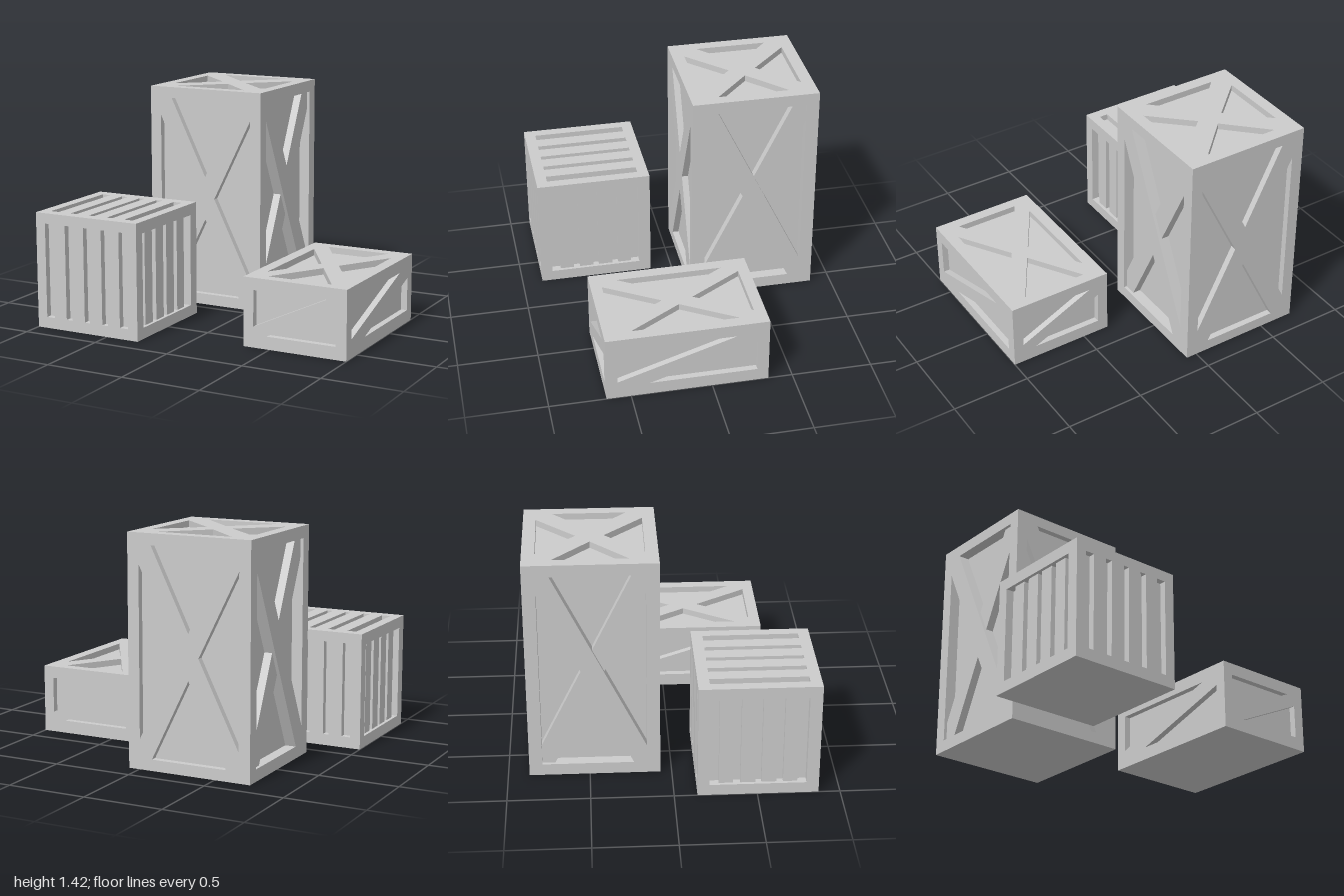
import * as THREE from 'three';
import { mergeGeometries } from 'three/addons/utils/BufferGeometryUtils.js';

const material = new THREE.MeshStandardMaterial({ color: 0xcccccc, flatShading: true });
const toPoints = (pairs) => pairs.map(([x, y]) => new THREE.Vector2(x, y));
const rect = (x0, x1, y0, y1) => [[x0, y0], [x1, y0], [x1, y1], [x0, y1]];

// Flat panel facing +z, with closed pockets sunk into it
function panelGeometry(outline, pockets, depth) {
  const shape = new THREE.Shape(toPoints(outline));
  const parts = [];
  for (const pocket of pockets) {
    const pts = toPoints(pocket);
    if (THREE.ShapeUtils.isClockWise(pts)) pts.reverse();
    shape.holes.push(new THREE.Path(pts));
    parts.push(new THREE.ShapeGeometry(new THREE.Shape(pts)).translate(0, 0, -depth).toNonIndexed());
    const walls = [];
    pts.forEach((a, i) => {
      const b = pts[(i + 1) % pts.length];
      walls.push(a.x, a.y, 0, b.x, b.y, 0, b.x, b.y, -depth);
      walls.push(a.x, a.y, 0, b.x, b.y, -depth, a.x, a.y, -depth);
    });
    const wall = new THREE.BufferGeometry();
    wall.setAttribute('position', new THREE.Float32BufferAttribute(walls, 3));
    parts.push(wall);
  }
  parts.push(new THREE.ShapeGeometry(shape).toNonIndexed());
  for (const g of parts) {
    g.deleteAttribute('uv');
    g.deleteAttribute('normal');
  }
  const merged = mergeGeometries(parts);
  merged.computeVertexNormals();
  return merged;
}

// Four triangles left between two crossed braces
function crossPockets(cy, edgeX, edgeY, baseX, baseY, tipX, tipY) {
  const list = [];
  for (const s of [1, -1]) {
    list.push([[-baseX, cy + s * edgeY], [baseX, cy + s * edgeY], [0, cy + s * tipY]]);
    list.push([[s * edgeX, cy - baseY], [s * edgeX, cy + baseY], [s * tipX, cy]]);
  }
  return list;
}

// A side: pockets, their depth, and optional planks set below the frame
function buildPanel(name, w, y0, y1, { pockets = [], depth = 0.04, planks = [], step = 0.02 }) {
  const panel = new THREE.Group();
  panel.name = name;
  const face = new THREE.Mesh(panelGeometry(rect(-w / 2, w / 2, y0, y1), pockets, depth), material);
  face.name = name + 'Face';
  panel.add(face);
  for (const outline of planks) {
    const geo = new THREE.ExtrudeGeometry(new THREE.Shape(toPoints(outline)), {
      depth: depth - step, bevelEnabled: false,
    });
    const plank = new THREE.Mesh(geo.translate(0, 0, -depth), material);
    plank.name = name + 'Plank';
    panel.add(plank);
  }
  return panel;
}

// Closed crate: opposite sides share one design
function buildCrate(name, [x, z], [w, h, d], front, side, top) {
  const crate = new THREE.Group();
  crate.name = name;
  crate.position.set(x, 0, z);
  ['front', 'left', 'back', 'right'].forEach((label, i) => {
    const odd = i % 2 === 1;
    const panel = buildPanel(label + 'Panel', odd ? d : w, 0, h, odd ? side : front);
    const angle = i * Math.PI / 2;
    const reach = (odd ? w : d) / 2;
    panel.rotation.y = angle;
    panel.position.set(Math.sin(angle) * reach, 0, Math.cos(angle) * reach);
    crate.add(panel);
  });
  const lid = buildPanel('lid', w, -d / 2, d / 2, top);
  lid.rotation.x = -Math.PI / 2;
  lid.position.y = h;
  const base = buildPanel('base', w, -d / 2, d / 2, {});
  base.rotation.x = Math.PI / 2;
  crate.add(lid, base);
  return crate;
}

export function createModel() {
  const model = new THREE.Group();
  model.name = 'crates';

  // Tall crate: flush crosses, and sides with one brace passing over the other
  const tallSide = {
    depth: 0.07,
    pockets: [
      [[-0.24, 1.345], [0.32, 1.345], [0.32, 0.19]],
      [[0.24, 0.075], [-0.32, 0.075], [-0.32, 1.23]],
    ],
    planks: [[[0.24, 1.345], [0.32, 1.345], [0.32, 1.22], [-0.24, 0.075], [-0.32, 0.075], [-0.32, 0.2]]],
  };
  model.add(buildCrate('tallCrate', [-0.33, -0.47], [0.8, 1.42, 0.8],
    { pockets: crossPockets(0.71, 0.326, 0.64, 0.245, 0.525, 0.066, 0.14) },
    tallSide,
    { pockets: crossPockets(0, 0.325, 0.322, 0.24, 0.225, 0.085, 0.085) }));

  // Slatted crate: slots in the front and lid, sunken slats at the sides
  const slots = [[-0.295, -0.237], [-0.15, -0.107], [-0.017, 0.02], [0.11, 0.15], [0.236, 0.295]];
  const slats = slots.slice(1).map(([start], i) => [slots[i][1], start]);
  model.add(buildCrate('slattedCrate', [-0.64, 0.505], [0.72, 0.73, 0.73],
    { pockets: slots.map(([a, b]) => rect(a, b, 0.07, 0.665)) },
    {
      depth: 0.05,
      pockets: [rect(-0.295, 0.29, 0.07, 0.658)],
      planks: slats.map(([a, b]) => rect(a, b, 0.07, 0.658)),
    },
    { pockets: slots.map(([a, b]) => rect(a, b, -0.295, 0.295)) }));

  // Low crate: single diagonal braces round the sides, a cross on the lid
  model.add(buildCrate('lowCrate', [0.663, 0.15], [0.674, 0.43, 1.0],
    { pockets: [
      [[-0.27, 0.355], [0.207, 0.355], [-0.27, 0.13]],
      [[0.268, 0.29], [0.268, 0.08], [-0.183, 0.08]],
    ] },
    { pockets: [
      [[-0.43, 0.35], [0.3, 0.35], [-0.43, 0.115]],
      [[0.43, 0.29], [0.43, 0.08], [-0.235, 0.08]],
    ] },
    { pockets: crossPockets(0, 0.263, 0.43, 0.207, 0.33, 0.058, 0.095) }));

  return model;
}
